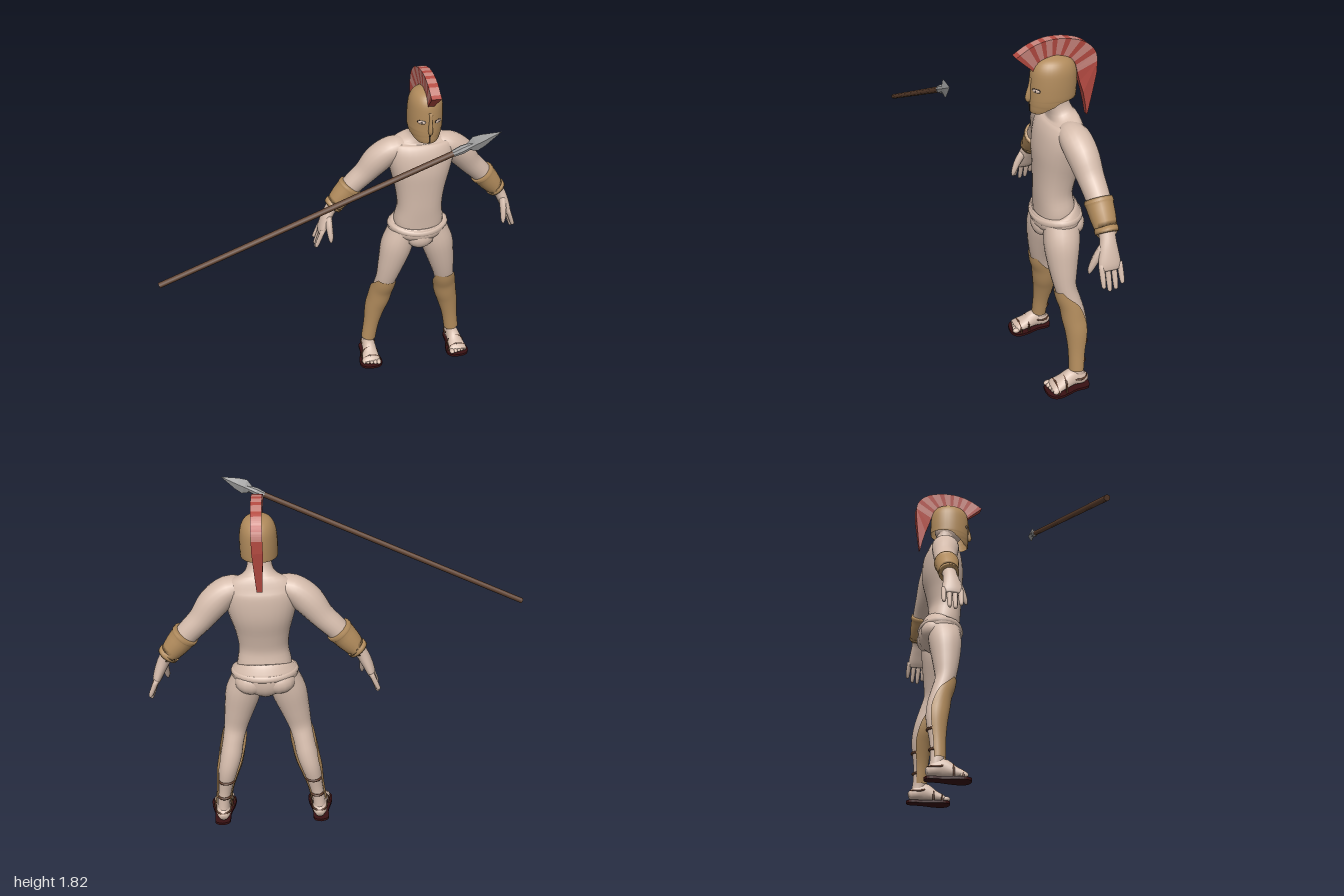
import * as THREE from 'three';
import { mergeVertices } from 'three/addons/utils/BufferGeometryUtils.js';

const V = (x, y, z) => new THREE.Vector3(x, y, z);
const mat = (name, color, side = THREE.FrontSide) => {
  const m = new THREE.MeshStandardMaterial({ color, side });
  m.name = name;
  return m;
};

// Skin through elliptical rings [x, y, z, halfWidth, halfDepth, halfAngle];
// halfAngle below PI leaves the ring open at the back.
function loft(rings, { n = 20, steps = 4, ref = V(0, 0, 1), power = 1, caps = true, flat = false } = {}) {
  const centre = new THREE.CatmullRomCurve3(rings.map(r => V(r[0], r[1], r[2])), false, 'catmullrom');
  const size = new THREE.CatmullRomCurve3(rings.map(r => V(r[3], r[4], r[5] ?? Math.PI)), false, 'catmullrom');
  const count = (rings.length - 1) * steps, pos = [], index = [];
  const bend = v => Math.sign(v) * Math.abs(v) ** power;
  for (let i = 0; i <= count; i++) {
    const c = centre.getPoint(i / count), r = size.getPoint(i / count);
    const t = centre.getTangent(i / count);
    const u = ref.clone().addScaledVector(t, -ref.dot(t)).normalize();
    const side = t.clone().cross(u);
    const half = r.z > 3 ? Math.PI : r.z;
    for (let j = 0; j <= n; j++) {
      const a = Math.PI / 2 + half * (2 * j / n - 1);
      const p = c.clone().addScaledVector(side, r.x * bend(Math.cos(a))).addScaledVector(u, r.y * bend(Math.sin(a)));
      pos.push(p.x, p.y, p.z);
      if (i < count && j < n) {
        const k = i * (n + 1) + j, up = k + n + 1;
        index.push(k, up, k + 1, k + 1, up, up + 1);
      }
    }
  }
  if (caps) {
    for (const [ring, end] of [[0, rings[0]], [count, rings[rings.length - 1]]]) {
      const mid = pos.length / 3, k = ring * (n + 1);
      pos.push(end[0], end[1], end[2]);
      for (let j = 0; j < n; j++) index.push(mid, ...(ring ? [k + j + 1, k + j] : [k + j, k + j + 1]));
    }
  }
  let g = new THREE.BufferGeometry();
  g.setAttribute('position', new THREE.Float32BufferAttribute(pos, 3));
  g.setIndex(index);
  g = flat ? g.toNonIndexed() : mergeVertices(g, 1e-5);
  g.computeVertexNormals();
  return g;
}

export function createModel() {
  const model = new THREE.Group();
  model.name = 'spearWarrior';
  const skin = mat('skin', 0xd4bbab), gold = mat('bronze', 0xb18b5c, THREE.DoubleSide);
  const red = mat('crestRed', 0xb44a41), pink = mat('crestPink', 0xc9857d);
  const wood = mat('wood', 0x5e402e), steel = mat('steel', 0x9c9c9c);
  const strap = mat('strapLeather', 0x5a3826), sole = mat('soleLeather', 0x381012);
  const dark = mat('dark', 0x2b211b);

  const body = new THREE.Group();
  body.name = 'warrior';
  body.position.x = 0.42;
  model.add(body);
  const add = (name, geo, material, parent = body) => {
    const m = new THREE.Mesh(geo, material);
    m.name = name;
    parent.add(m);
    return m;
  };
  const ball = (name, material, p, s, turn = 0) => {
    const m = add(name, new THREE.SphereGeometry(1, 16, 12), material);
    m.position.set(...p);
    m.scale.set(...s);
    m.rotation.y = turn;
    return m;
  };
  const tube = (name, points, r, material, closed = false) =>
    add(name, new THREE.TubeGeometry(new THREE.CatmullRomCurve3(points, closed), 32, r, 8, closed), material);
  // Elliptical loop; drop lowers its front, arc keeps only the rear part
  const ringPoints = (x, y, z, a, b, drop = 0, arc = Math.PI * 2) => Array.from({ length: 16 }, (_, i) => {
    const t = -Math.PI / 2 + arc * (arc < 6 ? i / 15 - 0.5 : i / 16);
    return V(x + a * Math.cos(t), y - drop * Math.max(0, Math.sin(t)) ** 2, z + b * Math.sin(t));
  });

  // Torso and neck
  add('torso', loft([
    [0, 0.84, -0.215, 0.12, 0.1], [0, 0.95, -0.205, 0.138, 0.095], [0, 1.05, -0.194, 0.124, 0.09],
    [0, 1.15, -0.2, 0.135, 0.1], [0, 1.25, -0.21, 0.16, 0.114], [0, 1.33, -0.216, 0.178, 0.112],
    [0, 1.39, -0.222, 0.18, 0.1], [0, 1.43, -0.225, 0.16, 0.076], [0, 1.46, -0.217, 0.085, 0.06],
    [0, 1.5, -0.205, 0.06, 0.053], [0, 1.56, -0.19, 0.06, 0.055],
  ], { n: 28, power: 0.88 }), skin);

  // Briefs with a rolled waistband
  add('briefs', loft([
    [0, 0.8, -0.205, 0.03, 0.05], [0, 0.825, -0.21, 0.085, 0.09], [0, 0.87, -0.215, 0.15, 0.118],
    [0, 0.92, -0.215, 0.168, 0.121], [0, 0.95, -0.213, 0.155, 0.11], [0, 0.96, -0.21, 0.13, 0.09],
  ], { n: 28 }), skin);
  tube('waistband', ringPoints(0, 0.927, -0.215, 0.15, 0.105, 0.02), 0.022, skin, true);
  ball('pouch', skin, [0, 0.86, -0.143], [0.075, 0.06, 0.05]);

  for (const s of [1, -1]) {
    const L = s > 0 ? 'left' : 'right';
    const mirror = rings => rings.map(([x, ...rest]) => [s * x, ...rest]);
    ball(L + 'Buttock', skin, [s * 0.068, 0.885, -0.262], [0.085, 0.068, 0.074]);

    // Arm, bracer and hand
    add(L + 'Arm', loft(mirror([
      [0.07, 1.39, -0.222, 0.05, 0.055], [0.15, 1.385, -0.228, 0.066, 0.075], [0.225, 1.325, -0.241, 0.076, 0.075],
      [0.29, 1.245, -0.254, 0.063, 0.064], [0.35, 1.185, -0.261, 0.058, 0.058], [0.41, 1.12, -0.264, 0.052, 0.052],
      [0.475, 1.045, -0.262, 0.034, 0.038], [0.505, 0.99, -0.258, 0.03, 0.045], [0.53, 0.93, -0.256, 0.024, 0.054],
      [0.54, 0.9, -0.256, 0.016, 0.05],
    ])), skin);
    add(L + 'Bracer', loft(mirror([
      [0.367, 1.17, -0.261, 0.067, 0.066], [0.379, 1.156, -0.261, 0.069, 0.068], [0.386, 1.148, -0.261, 0.065, 0.064],
      [0.42, 1.108, -0.263, 0.06, 0.06], [0.452, 1.07, -0.264, 0.051, 0.053], [0.457, 1.065, -0.264, 0.055, 0.056],
      [0.469, 1.05, -0.264, 0.053, 0.054],
    ]), { steps: 2 }), gold);
    for (let i = 0; i < 4; i++) {
      const z = -0.213 - i * 0.03, len = [0.095, 0.115, 0.11, 0.085][i];
      add(L + 'Finger', loft(mirror([
        [0.532, 0.93, z, 0.013, 0.014], [0.55, 0.93 - len * 0.5, z - 0.002, 0.013, 0.014],
        [0.568, 0.932 - len, z - 0.003, 0.011, 0.011], [0.573, 0.922 - len, z - 0.003, 0.005, 0.005],
      ]), { n: 8, steps: 2 }), skin);
    }
    add(L + 'Thumb', loft(mirror([
      [0.498, 1.0, -0.235, 0.02, 0.022], [0.498, 0.95, -0.205, 0.019, 0.02],
      [0.495, 0.895, -0.182, 0.014, 0.014], [0.495, 0.87, -0.175, 0.006, 0.006],
    ]), { n: 8, steps: 3 }), skin);

    // Leg
    add(L + 'Leg', loft(mirror([
      [0.085, 0.91, -0.215, 0.07, 0.09], [0.115, 0.8, -0.207, 0.09, 0.09], [0.145, 0.68, -0.206, 0.076, 0.073],
      [0.168, 0.58, -0.212, 0.061, 0.056], [0.185, 0.5, -0.235, 0.055, 0.053], [0.2, 0.42, -0.253, 0.056, 0.057],
      [0.222, 0.33, -0.265, 0.05, 0.054], [0.245, 0.2, -0.262, 0.035, 0.037], [0.26, 0.1, -0.262, 0.033, 0.036],
      [0.262, 0.04, -0.265, 0.034, 0.045],
    ])), skin);

    // Greave, open behind, with calf straps
    add(L + 'Greave', loft(mirror([
      [0.26, 0.11, -0.258, 0.043, 0.041, 2.2], [0.243, 0.22, -0.262, 0.046, 0.047, 2.2],
      [0.222, 0.33, -0.265, 0.06, 0.062, 2.2], [0.203, 0.4, -0.256, 0.066, 0.066, 2.15],
      [0.19, 0.47, -0.243, 0.067, 0.064, 1.9], [0.178, 0.53, -0.223, 0.066, 0.064, 1.4],
      [0.172, 0.575, -0.212, 0.064, 0.061, 0.95],
    ]), { caps: false }), gold);
    for (const [x, y, z, a, b] of [[0.232, 0.27, -0.264, 0.044, 0.048], [0.25, 0.16, -0.262, 0.035, 0.038]])
      tube(L + 'CalfStrap', ringPoints(s * x, y, z, a, b, 0, 2.2), 0.007, strap);

    // Foot and sandal
    add(L + 'Foot', loft(mirror([
      [0.263, 0.04, -0.315, 0.02, 0.02], [0.263, 0.05, -0.285, 0.038, 0.036], [0.264, 0.065, -0.235, 0.039, 0.05],
      [0.267, 0.046, -0.18, 0.046, 0.036], [0.27, 0.032, -0.13, 0.053, 0.023], [0.27, 0.026, -0.115, 0.045, 0.014],
    ]), { ref: V(0, 1, 0) }), skin);
    for (let i = 0; i < 5; i++)
      ball(L + 'Toe', skin, [s * (0.229 + i * 0.021), 0.027, -0.112 - i * 0.005], [0.015 - i * 0.001, 0.014, 0.022]);
    const outline = new THREE.Shape(new THREE.SplineCurve([
      [0, 0.328], [0.04, 0.31], [0.045, 0.24], [0.065, 0.17], [0.066, 0.12], [0.035, 0.09],
      [-0.03, 0.088], [-0.063, 0.115], [-0.062, 0.17], [-0.043, 0.24], [-0.038, 0.31], [0, 0.328],
    ].map(p => new THREE.Vector2(p[0] * s, p[1]))).getPoints(40));
    const soleGeo = new THREE.ExtrudeGeometry(outline, { depth: 0.014, bevelEnabled: false });
    soleGeo.rotateX(-Math.PI / 2);
    add(L + 'Sole', soleGeo, sole).position.x = s * 0.268;
    for (const [z, w, h] of [[-0.138, 0.056, 0.059], [-0.185, 0.05, 0.087]])
      tube(L + 'FootStrap', [-1, -0.8, 0, 0.8, 1].map((t, i) =>
        V(s * 0.268 + w * t, [0.01, h * 0.7, h, h * 0.7, 0.01][i], z)), 0.0055, strap);
    tube(L + 'AnkleStrap', ringPoints(s * 0.263, 0.065, -0.262, 0.04, 0.048, -0.025), 0.0055, strap, true);

    // Eye opening in the helmet
    ball(L + 'EyeOpening', dark, [s * 0.043, 1.591, -0.079], [0.024, 0.011, 0.004], s * 0.57);
    ball(L + 'Eye', skin, [s * 0.0435, 1.59, -0.0778], [0.021, 0.0085, 0.0045], s * 0.57);
    ball(L + 'Pupil', dark, [s * 0.0445, 1.59, -0.075], [0.005, 0.005, 0.003], s * 0.57);
  }

  // Head and helmet with cheek guards
  ball('head', skin, [0, 1.585, -0.18], [0.07, 0.095, 0.088]);
  add('helmet', loft([
    [0, 1.472, -0.175, 0.068, 0.106, 0.7], [0, 1.49, -0.175, 0.078, 0.11, 1.05], [0, 1.51, -0.176, 0.084, 0.112, 1.35],
    [0, 1.535, -0.176, 0.088, 0.113, 1.75], [0, 1.552, -0.176, 0.09, 0.113, Math.PI],
    [0, 1.62, -0.177, 0.09, 0.113], [0, 1.68, -0.177, 0.083, 0.106],
    [0, 1.72, -0.177, 0.06, 0.078], [0, 1.742, -0.177, 0.015, 0.02],
  ], { n: 32, caps: false }), gold);
  add('noseGuard', loft([
    [0, 1.525, -0.062, 0.006, 0.01], [0, 1.547, -0.06, 0.012, 0.02], [0, 1.6, -0.066, 0.008, 0.012], [0, 1.64, -0.069, 0.012, 0.008],
  ], { n: 8, steps: 2 }), gold);
  const slit = add('mouthSlit', new THREE.BoxGeometry(0.008, 0.05, 0.005), dark);
  slit.position.set(0, 1.502, -0.066);

  // Striped crest: fan of wedges between two curves, thinner at the dome and at the tail
  const curve = pts => new THREE.SplineCurve(pts.map(p => new THREE.Vector2(...p)));
  const outer = curve([[0.015, 1.75], [-0.05, 1.79], [-0.11, 1.812], [-0.17, 1.82], [-0.24, 1.815],
    [-0.32, 1.79], [-0.375, 1.735], [-0.385, 1.65], [-0.37, 1.53], [-0.355, 1.425]]);
  const inner = curve([[-0.072, 1.675], [-0.1, 1.705], [-0.13, 1.725], [-0.17, 1.735], [-0.21, 1.732],
    [-0.25, 1.715], [-0.28, 1.68], [-0.3, 1.61], [-0.33, 1.52], [-0.35, 1.425]]);
  const stops = [0];
  for (let i = 0; i < 7; i++) stops.push(i * 0.104 + 0.042, (i + 1) * 0.104);
  stops.push(1);
  for (let i = 0; i + 1 < stops.length; i++) {
    const ts = Array.from({ length: 5 }, (_, k) => stops[i] + (stops[i + 1] - stops[i]) * k / 4);
    const shape = new THREE.Shape([...ts.map(t => outer.getPoint(t)), ...ts.reverse().map(t => inner.getPoint(t))]);
    const g = new THREE.ExtrudeGeometry(shape, { depth: 0.052, bevelEnabled: false });
    g.translate(0, 0, -0.026).rotateY(-Math.PI / 2);
    const p = g.attributes.position;
    for (let k = 0; k < p.count; k++) {
      const reach = Math.hypot(p.getY(k) - 1.6, p.getZ(k) + 0.18);
      p.setX(k, p.getX(k) * Math.min(1, (reach - 0.03) / 0.16, 0.5 + (p.getY(k) - 1.425) * 2.5));
    }
    g.computeVertexNormals();
    add('crestStripe', g, i % 2 ? pink : red);
  }

  // Spear
  const spear = new THREE.Group();
  spear.name = 'spear';
  model.add(spear);
  const tail = V(-0.994, 1.025, 0.255), tip = V(0.62, 1.73, 0.375);
  const along = (t, a, b) => [...tail.clone().lerp(tip, t).toArray(), a, b];
  const shaft = add('shaft', new THREE.CylinderGeometry(0.0145, 0.0145, tail.distanceTo(tip) * 0.88, 10), wood, spear);
  shaft.position.copy(tail).lerp(tip, 0.44);
  shaft.quaternion.setFromUnitVectors(V(0, 1, 0), tip.clone().sub(tail).normalize());
  add('socket', loft([along(0.865, 0.016, 0.016), along(0.89, 0.021, 0.02), along(0.93, 0.013, 0.011)],
    { n: 8, steps: 1, flat: true }), steel, spear);
  add('blade', loft([along(0.9, 0.012, 0.01), along(0.927, 0.04, 0.013), along(0.95, 0.032, 0.011), along(1, 0.001, 0.001)],
    { n: 4, steps: 1, flat: true }), steel, spear);
  return model;
}
